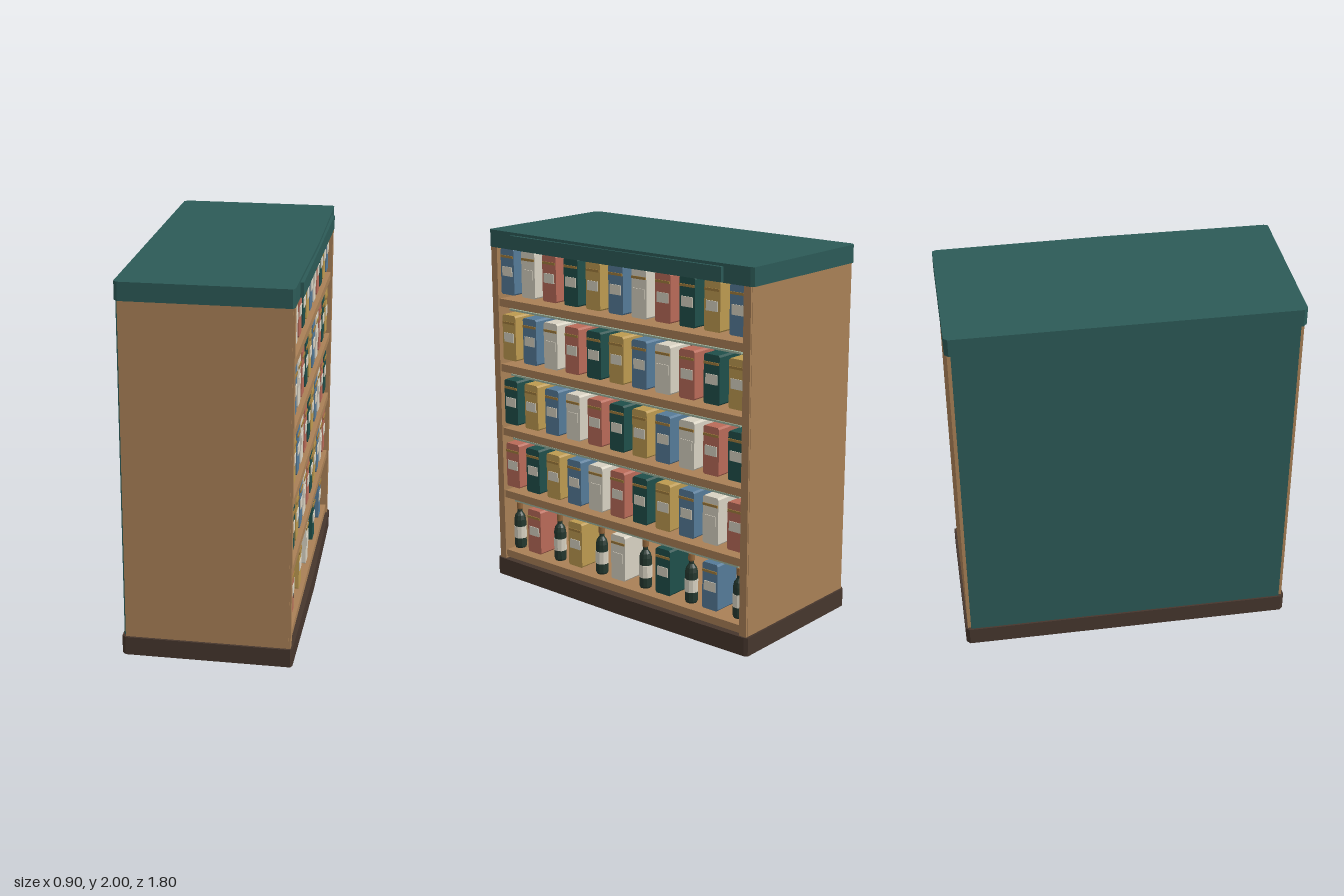
import * as THREE from 'three';

const mat = (color) => new THREE.MeshStandardMaterial({ color, flatShading: true });
const M = {
  teal: mat(0x2c5a57), tan: mat(0xa98056), base: mat(0x46362d), darkTeal: mat(0x1f4f4a),
  blue: mat(0x557a98), cream: mat(0xd8d2c2), red: mat(0xb96a58), gold: mat(0xbd9a50),
  trim: mat(0xa07c3c), strip: mat(0x9fb5a0), glass: mat(0x24382f), cork: mat(0x94683c),
};

// Box given by its min and max corners
function box(parent, name, material, x0, x1, y0, y1, z0, z1) {
  const mesh = new THREE.Mesh(new THREE.BoxGeometry(x1 - x0, y1 - y0, z1 - z0), material);
  mesh.position.set((x0 + x1) / 2, (y0 + y1) / 2, (z0 + z1) / 2);
  mesh.name = name;
  parent.add(mesh);
  return mesh;
}

// Slab with a softly bowed outline in plan and chamfered corners
function slab(parent, name, material, x0, x1, y0, y1, z) {
  const c = 0.02;
  const s = new THREE.Shape([
    [x0, -z + c], [x0 + c, -z], [x1 - c, -z], [x1 - 0.01, -z + c], [x1, 0],
    [x1 - 0.01, z - c], [x1 - c, z], [x0 + c, z], [x0, z - c],
  ].map(([a, b]) => new THREE.Vector2(a, b)));
  const g = new THREE.ExtrudeGeometry(s, { depth: y1 - y0, bevelEnabled: false });
  g.rotateX(-Math.PI / 2);
  const mesh = new THREE.Mesh(g, material);
  mesh.position.y = y0;
  mesh.name = name;
  parent.add(mesh);
}

// Carton facing +x, with label and gold bar
function carton(material) {
  const g = new THREE.Group();
  g.name = 'carton';
  const w = 0.05, h = 0.255;
  const s = new THREE.Shape([
    [-w + 0.006, 0], [w - 0.006, 0], [w, 0.008], [w, h - 0.01], [w - 0.008, h],
    [-w + 0.008, h], [-w, h - 0.01], [-w, 0.008],
  ].map(([a, b]) => new THREE.Vector2(a, b)));
  const geo = new THREE.ExtrudeGeometry(s, { depth: 0.16, bevelEnabled: false });
  geo.rotateY(Math.PI / 2);
  const body = new THREE.Mesh(geo, material);
  body.name = 'cartonBody';
  body.position.x = 0.235;
  g.add(body);
  box(g, 'cartonLabel', M.cream, 0.39, 0.399, 0.103, 0.155, -0.037, 0.037);
  box(g, 'cartonBar', M.trim, 0.39, 0.4, 0.204, 0.217, -0.047, 0.047);
  return g;
}

// Bottle with shoulder, neck, label and cork
function bottle() {
  const g = new THREE.Group();
  g.name = 'bottle';
  const lathe = (name, pts, m) => {
    const mesh = new THREE.Mesh(
      new THREE.LatheGeometry(pts.map(([r, y]) => new THREE.Vector2(r, y)), 10), m);
    mesh.name = name;
    g.add(mesh);
  };
  lathe('bottleGlass', [[0, 0], [0.03, 0], [0.034, 0.01], [0.034, 0.17], [0.028, 0.195],
    [0.014, 0.215], [0.013, 0.25], [0, 0.25]], M.glass);
  lathe('bottleLabel', [[0.034, 0.06], [0.0355, 0.06], [0.0355, 0.13], [0.034, 0.13]], M.cream);
  lathe('bottleCork', [[0.015, 0.23], [0.018, 0.235], [0.017, 0.27], [0, 0.272]], M.cork);
  g.position.x = 0.35;
  return g;
}

export function createModel() {
  const model = new THREE.Group();
  model.name = 'shopShelf';

  // Case, open towards +x
  slab(model, 'plinth', M.base, -0.46, 0.44, 0, 0.1, 0.9);
  slab(model, 'canopy', M.teal, -0.455, 0.43, 1.905, 2, 0.9);
  box(model, 'signBoard', M.teal, 0.41, 0.44, 1.91, 1.985, -0.72, 0.72);
  box(model, 'backPanel', M.teal, -0.45, -0.42, 0.1, 1.905, -0.87, 0.87);
  for (const s of [-1, 1]) {
    const side = box(model, 'sidePanel', M.tan, -0.44, 0.41, 0.1, 1.905, -0.022, 0.022);
    side.position.z = s * 0.866;
    const post = box(model, 'frontPost', M.tan, 0.39, 0.42, 0.1, 1.905, -0.022, 0.022);
    post.position.z = s * 0.864;
  }

  // Shelves, with a light strip under each raised one
  const tops = [1.62, 1.25, 0.88, 0.51, 0.15];
  tops.forEach((y, r) => {
    box(model, 'shelf', M.tan, -0.42, 0.4, y - 0.045, y, -0.845, 0.845);
    box(model, 'shelfLip', M.tan, 0.39, 0.412, y - 0.04, y + 0.002, -0.845, 0.845);
    if (r < 4) box(model, 'lightStrip', M.strip, 0.36, 0.38, y - 0.065, y - 0.055, -0.8, 0.8);
  });

  // Goods: colours shift by one per row, bottles alternate on the lowest row
  const colours = [M.blue, M.cream, M.red, M.darkTeal, M.gold];
  tops.forEach((y, r) => {
    for (let i = 0; i < 11; i++) {
      const isBottle = r === 4 && i % 2 === 0;
      const item = isBottle ? bottle() : carton(colours[(i - r + 10) % 5]);
      item.position.y = isBottle ? y + 0.015 : y + 0.027;
      item.position.z = 0.79 - i * 0.158;
      model.add(item);
    }
  });
  return model;
}
